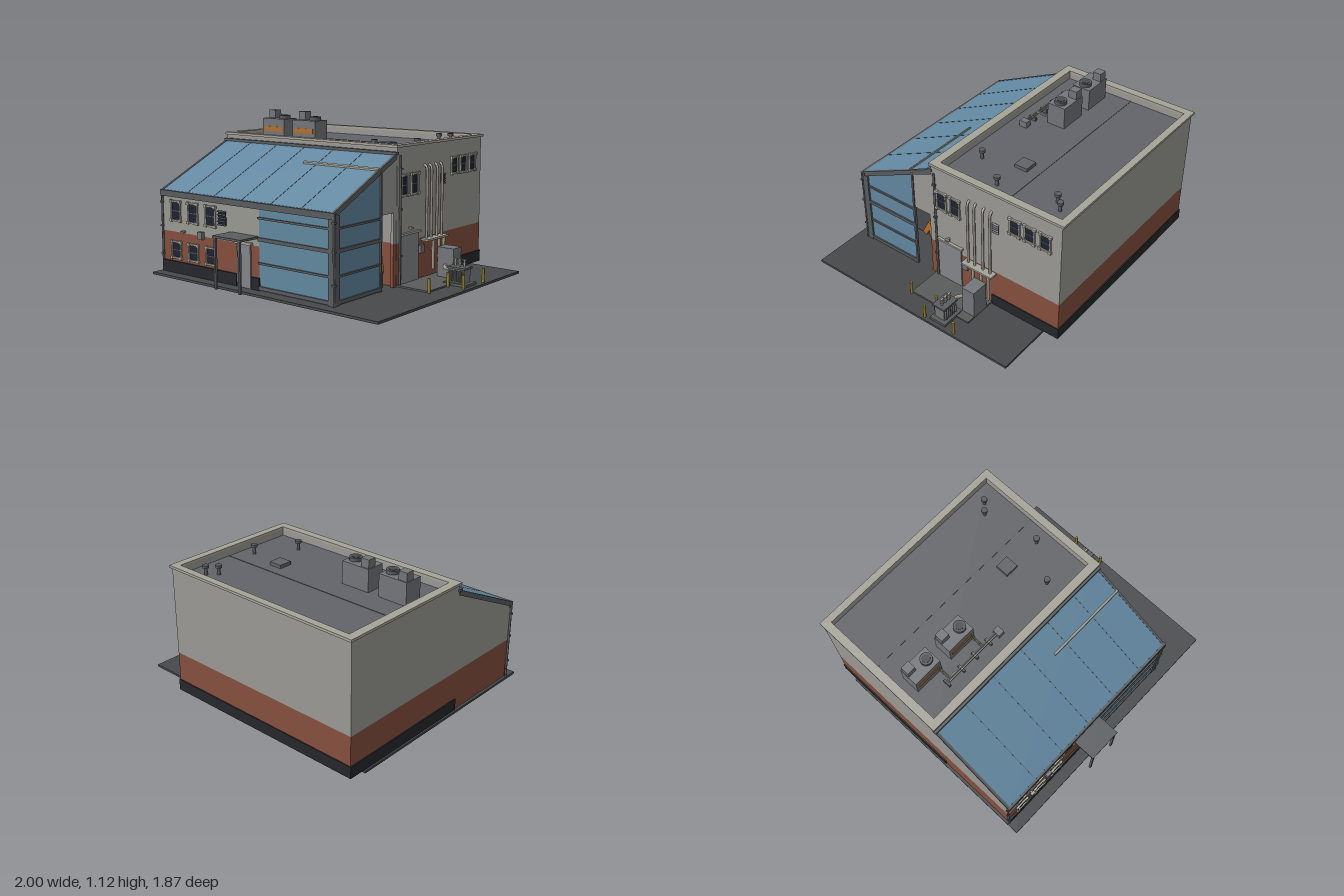
import * as THREE from 'three';

const C = {
  plaster: 0x9c9b96, brick: 0x87503f, base: 0x25282b, slab: 0x48494b, roof: 0x626469, trim: 0xa6a499,
  steel: 0x5a5d61, glass: 0x6389a2, pane: 0x1f2433, door: 0x85888b, pad: 0x5a5c5b, orange: 0xb5702a,
  yellow: 0x9c8426, pipe: 0xa39f94, dark: 0x4a4c50, machine: 0x74777a,
};
const mats = {};
const mat = (c) => (mats[c] ??= new THREE.MeshStandardMaterial({ color: C[c], side: THREE.DoubleSide }));

export function createModel() {
  const root = new THREE.Group();
  const add = (name, color, geo, parent = root) => {
    const m = new THREE.Mesh(geo, mat(color));
    m.name = name;
    parent.add(m);
    return m;
  };
  // box given by its bounds
  const box = (name, color, x0, x1, y0, y1, z0, z1, parent) => {
    const m = add(name, color, new THREE.BoxGeometry(x1 - x0, y1 - y0, z1 - z0), parent);
    m.position.set((x0 + x1) / 2, (y0 + y1) / 2, (z0 + z1) / 2);
    return m;
  };
  const cyl = (name, color, x, y0, y1, z, r, n = 16) => {
    const m = add(name, color, new THREE.CylinderGeometry(r, r, y1 - y0, n));
    m.position.set(x, (y0 + y1) / 2, z);
    return m;
  };
  const tube = (name, color, pts, r) => add(name, color, new THREE.TubeGeometry(
    new THREE.CatmullRomCurve3(pts.map((p) => new THREE.Vector3(...p)), false, 'catmullrom', 0.2), 20, r, 8));
  // profile of [z, y] points carried along x
  const sideProfile = (name, color, pts, x0, x1) => {
    const shape = new THREE.Shape(pts.map(([z, y]) => new THREE.Vector2(-z, y)));
    const m = add(name, color, new THREE.ExtrudeGeometry(shape, { depth: x1 - x0, bevelEnabled: false }));
    m.rotation.y = Math.PI / 2;
    m.position.x = x0;
    return m;
  };
  // flat rectangular ring lying in the xz plane
  const ring = (name, color, [x0, x1, z0, z1], [a0, a1, b0, b1], y0, y1) => {
    const rect = (T, l, r, b, t) => new T([[l, b], [r, b], [r, t], [l, t]].map((p) => new THREE.Vector2(...p)));
    const s = rect(THREE.Shape, x0, x1, -z1, -z0);
    s.holes.push(rect(THREE.Path, a0, a1, -b1, -b0));
    const m = add(name, color, new THREE.ExtrudeGeometry(s, { depth: y1 - y0, bevelEnabled: false }));
    m.rotation.x = -Math.PI / 2;
    m.position.y = y0;
  };
  // groups on the front wall (+z) or right-hand wall (+x); local z points outwards
  const onWall = (name, wall, u, y) => {
    const g = new THREE.Group();
    g.name = name;
    if (wall === 'front') g.position.set(u, y, 0.76);
    else { g.position.set(0.595, y, u); g.rotation.y = Math.PI / 2; }
    root.add(g);
    return g;
  };
  const windowUnit = (wall, u, y, w, h) => {
    const g = onWall('window', wall, u, y), a = w / 2, b = h / 2, t = 0.012;
    box('windowPane', 'pane', -a, a, -b, b, -0.005, 0.003, g);
    for (const s of [-1, 1]) {
      box('windowJamb', 'trim', s * a - t / 2, s * a + t / 2, -b, b, 0, 0.01, g);
      box('windowRail', 'trim', -a, a, s * b - t / 2, s * b + t / 2, 0, 0.012, g);
      for (const q of [-1, 1]) box('windowCorner', 'trim', s * a - 0.012, s * a + 0.012, q * b - 0.01, q * b + 0.01, 0, 0.016, g);
    }
    box('windowCrossbar', 'steel', -a, a, -0.003, 0.003, 0, 0.006, g);
  };
  const louver = (wall, u, y, w, h) => {
    const g = onWall('louver', wall, u, y);
    box('louverBack', 'pane', -w / 2, w / 2, -h / 2, h / 2, -0.004, 0.004, g);
    for (let i = 0; i < 5; i++) {
      const m = box('louverSlat', 'steel', -w / 2, w / 2, -0.002, 0.002, 0, 0.014, g);
      m.position.y = (i / 4 - 0.5) * h * 0.9;
      m.rotation.x = 0.5;
    }
  };
  const lamp = (wall, u, y) => {
    const g = onWall('wallLamp', wall, u, y);
    box('lampArm', 'trim', -0.006, 0.006, -0.006, 0.006, 0, 0.025, g);
    box('lampHead', 'trim', -0.016, 0.016, -0.008, 0.002, 0.012, 0.032, g);
  };

  // ground and main hall
  box('groundSlab', 'slab', -1, 1, 0, 0.017, -0.81, 0.855);
  box('equipmentPad', 'pad', 0.59, 0.85, 0.017, 0.028, -0.38, 0.115);
  box('hallBrick', 'brick', -0.98, 0.595, 0.018, 0.31, -0.925, 0.12);
  box('hallPlaster', 'plaster', -0.98, 0.595, 0.31, 0.89, -0.925, 0.12);
  box('hallRoof', 'roof', -0.94, 0.56, 0.89, 0.9, -0.9, 0.09);
  box('roofSeam', 'steel', -0.93, 0.55, 0.9, 0.903, -0.465, -0.46);
  ring('parapet', 'plaster', [-0.98, 0.595, -0.925, 0.12], [-0.93, 0.55, -0.89, 0.07], 0.89, 0.947);
  ring('parapetCap', 'trim', [-0.99, 0.605, -0.94, 0.13], [-0.93, 0.55, -0.89, 0.07], 0.947, 0.965);
  box('plinthBack', 'base', -0.988, 0.602, 0.017, 0.1, -0.932, -0.92);
  box('plinthLeft', 'base', -0.988, -0.975, 0.017, 0.1, -0.932, 0.14);
  box('plinthRight', 'base', 0.59, 0.602, 0.017, 0.1, -0.932, -0.385);

  // lean-to: masonry half
  const slopeY = (z) => 0.905 - (z - 0.13) * 0.475;
  box('annexBrick', 'brick', -0.98, -0.04, 0.017, 0.31, 0.12, 0.76);
  sideProfile('annexPlaster', 'plaster',
    [[0.12, 0.31], [0.76, 0.31], [0.76, slopeY(0.76) - 0.03], [0.12, slopeY(0.12) - 0.03]], -0.98, -0.04);
  box('annexPlinth', 'base', -0.985, -0.245, 0.017, 0.1, 0.755, 0.772);
  box('annexPlinth', 'base', -0.11, -0.035, 0.017, 0.1, 0.755, 0.772);

  // lean-to: glazed half with an open bay
  box('frontGlazing', 'glass', -0.04, 0.59, 0.017, 0.57, 0.75, 0.762);
  sideProfile('sideGlazing', 'glass',
    [[0.29, 0.017], [0.76, 0.017], [0.76, slopeY(0.76) - 0.03], [0.29, slopeY(0.29) - 0.03]], 0.578, 0.59);
  sideProfile('bayWall', 'plaster',
    [[0.12, 0.52], [0.29, 0.52], [0.29, slopeY(0.29) - 0.03], [0.12, slopeY(0.12) - 0.03]], 0.57, 0.592);
  box('bayPierBrick', 'brick', 0.57, 0.592, 0.017, 0.31, 0.115, 0.15);
  box('bayPierPlaster', 'plaster', 0.57, 0.592, 0.31, 0.52, 0.115, 0.15);
  box('bayBack', 'dark', 0.3, 0.31, 0.017, 0.6, 0.12, 0.74);
  for (const [y, h] of [[0.035, 0.025], [0.2, 0.014], [0.36, 0.025], [0.5, 0.014]]) {
    box('frontMullion', 'steel', -0.045, 0.59, y - h / 2, y + h / 2, 0.755, 0.772);
    box('sideMullion', 'steel', 0.58, 0.6, y - h / 2, y + h / 2, 0.29, 0.76);
  }
  box('bayPost', 'steel', 0.58, 0.6, 0.017, slopeY(0.29) - 0.02, 0.283, 0.297);
  box('frontCornerPost', 'steel', 0.555, 0.603, 0.017, 0.585, 0.72, 0.774);
  box('eavesBeam', 'steel', -0.985, 0.603, 0.56, 0.602, 0.75, 0.782);

  // sloping glass roof
  const slab = (z0, z1, lo, hi) => [[z0, slopeY(z0) + lo], [z1, slopeY(z1) + lo], [z1, slopeY(z1) + hi], [z0, slopeY(z0) + hi]];
  sideProfile('glassRoof', 'glass', slab(0.12, 0.765, -0.03, 0), -0.97, 0.585);
  for (const x of [-0.985, 0.58]) sideProfile('roofEdge', 'steel', slab(0.12, 0.78, -0.035, 0.003), x, x + 0.018);
  for (let i = 1; i < 6; i++) sideProfile('roofSeam', 'steel', slab(0.13, 0.765, -0.005, 0.002), -0.98 + i * 0.262, -0.977 + i * 0.262);
  sideProfile('roofBar', 'trim', slab(0.307, 0.322, -0.01, 0.012), -0.045, 0.59);
  box('roofFlashing', 'steel', -0.99, 0.603, 0.9, 0.92, 0.11, 0.142);

  // wall openings and fittings
  for (const x of [-0.845, -0.67, -0.495]) {
    windowUnit('front', x, 0.46, 0.09, 0.135);
    windowUnit('front', x, 0.182, 0.09, 0.115);
  }
  for (const z of [0.035, -0.08]) windowUnit('right', z, 0.692, 0.075, 0.135);
  for (const z of [-0.57, -0.685, -0.805]) windowUnit('right', z, 0.77, 0.075, 0.115);
  louver('front', -0.382, 0.46, 0.075, 0.1);
  louver('right', -0.42, 0.69, 0.05, 0.07);
  lamp('front', -0.757, 0.325);
  lamp('right', -0.02, 0.4);
  box('frontMeterBox', 'machine', -0.607, -0.562, 0.29, 0.342, 0.755, 0.785);
  box('sideMeterBox', 'machine', 0.59, 0.615, 0.205, 0.262, -0.183, -0.14);
  box('frontDoor', 'door', -0.24, -0.115, 0.017, 0.31, 0.755, 0.77);
  box('frontLintel', 'trim', -0.255, -0.1, 0.31, 0.328, 0.755, 0.782);
  box('sideDoor', 'door', 0.59, 0.605, 0.025, 0.355, -0.125, 0.075);
  box('sideLintel', 'trim', 0.59, 0.615, 0.355, 0.37, -0.14, 0.075);
  box('canopy', 'steel', -0.305, -0.048, 0.362, 0.377, 0.755, 0.93);
  for (const x of [-0.288, -0.065]) box('canopyPost', 'steel', x - 0.008, x + 0.008, 0.017, 0.365, 0.91, 0.926);

  // downpipes
  for (const [x, z, top] of [[-0.985, 0.765, 0.57], [0.603, 0.09, 0.895], [0.6, 0.772, 0.6]]) {
    cyl('downpipe', 'steel', x, 0.017, top, z, 0.008, 10);
    for (const f of [0.25, 0.6, 0.9]) box('pipeClip', 'steel', x - 0.012, x + 0.012, top * f - 0.006, top * f + 0.006, z - 0.011, z + 0.011);
  }

  // wall conduits and their bracket
  for (const z of [-0.2, -0.255, -0.325, -0.385]) {
    tube('conduit', 'pipe', [[0.617, 0.29, z], [0.617, 0.5, z], [0.617, 0.77, z], [0.612, 0.795, z], [0.585, 0.81, z]], 0.009);
    if (z < -0.22) cyl('lowerConduit', 'pipe', 0.637, 0.08, 0.3, z, 0.011, 10);
  }
  box('conduitBracket', 'trim', 0.59, 0.655, 0.288, 0.302, -0.42, -0.165);

  // cabinet, transformer and bollards
  box('cabinet', 'machine', 0.655, 0.785, 0.025, 0.235, -0.38, -0.28);
  tube('transformerDuct', 'pipe', [[0.72, 0.11, -0.29], [0.735, 0.11, -0.25], [0.77, 0.11, -0.225], [0.83, 0.11, -0.22]], 0.014);
  box('transformerBase', 'pad', 0.79, 0.97, 0.017, 0.035, -0.28, -0.15);
  box('transformerTank', 'machine', 0.82, 0.94, 0.035, 0.128, -0.25, -0.17);
  box('transformerLid', 'steel', 0.81, 0.95, 0.128, 0.142, -0.262, -0.16);
  for (let i = 0; i < 6; i++) box('coolingFin', 'machine', 0.83 + i * 0.019, 0.836 + i * 0.019, 0.045, 0.12, -0.265, -0.155);
  for (const x of [0.845, 0.88, 0.915]) {
    cyl('bushing', 'pipe', x, 0.14, 0.185, -0.215, 0.008, 10);
    cyl('bushingDisc', 'pipe', x, 0.16, 0.166, -0.215, 0.014, 10);
    box('bushingTerminal', 'trim', x - 0.014, x + 0.014, 0.185, 0.192, -0.222, -0.208);
  }
  for (const [x, z] of [[0.855, 0.115], [0.855, -0.11], [0.975, -0.11], [0.975, -0.36]]) cyl('bollard', 'yellow', x, 0.017, 0.115, z, 0.01, 12);

  // handling arm inside the open bay
  cyl('armPedestal', 'steel', 0.5, 0.017, 0.12, 0.185, 0.03);
  const limb = (z0, y0, z1, y1, w) => {
    const m = add('armLimb', 'orange', new THREE.BoxGeometry(0.045, Math.hypot(z1 - z0, y1 - y0), w));
    m.position.set(0.5, (y0 + y1) / 2, (z0 + z1) / 2);
    m.rotation.x = Math.atan2(z1 - z0, y1 - y0);
  };
  limb(0.175, 0.11, 0.225, 0.36, 0.04);
  limb(0.22, 0.36, 0.275, 0.25, 0.035);

  // rooftop air units
  for (const x of [-0.755, -0.45]) {
    box('airUnit', 'machine', x - 0.11, x + 0.11, 0.9, 1.06, -0.285, -0.145);
    box('airUnitStripe', 'orange', x - 0.09, x + 0.09, 0.965, 1.0, -0.15, -0.141);
    box('airIntake', 'machine', x - 0.105, x - 0.04, 1.06, 1.12, -0.277, -0.213);
    cyl('fanHousing', 'steel', x + 0.055, 1.06, 1.085, -0.215, 0.043, 20);
    cyl('fanHub', 'dark', x + 0.055, 1.08, 1.088, -0.215, 0.028, 16);
    for (const d of [0.085, 0.097]) tube('unitPipe', 'pipe', [[x + d, 0.935, -0.15], [x + d, 0.935, -0.1], [x + d, 0.935, -0.045]], 0.004);
  }
  for (const z of [-0.055, -0.038]) box('roofPipe', 'pipe', -0.68, -0.21, 0.928, 0.936, z - 0.004, z + 0.004);
  for (const x of [-0.695, -0.56, -0.435, -0.305]) box('pipeSupport', 'steel', x - 0.008, x + 0.008, 0.9, 0.928, -0.075, -0.018);
  box('pipeBox', 'machine', -0.235, -0.188, 0.9, 0.945, -0.075, -0.015);
  box('roofHatch', 'roof', 0.125, 0.225, 0.9, 0.925, -0.385, -0.285);
  for (const [x, z] of [[0.275, -0.055], [0.45, -0.315], [0.36, -0.725], [0.42, -0.785]]) {
    cyl('ventStem', 'steel', x, 0.9, 0.95, z, 0.012, 12);
    cyl('ventCap', 'steel', x, 0.95, 0.97, z, 0.022, 16);
  }
  return root;
}
